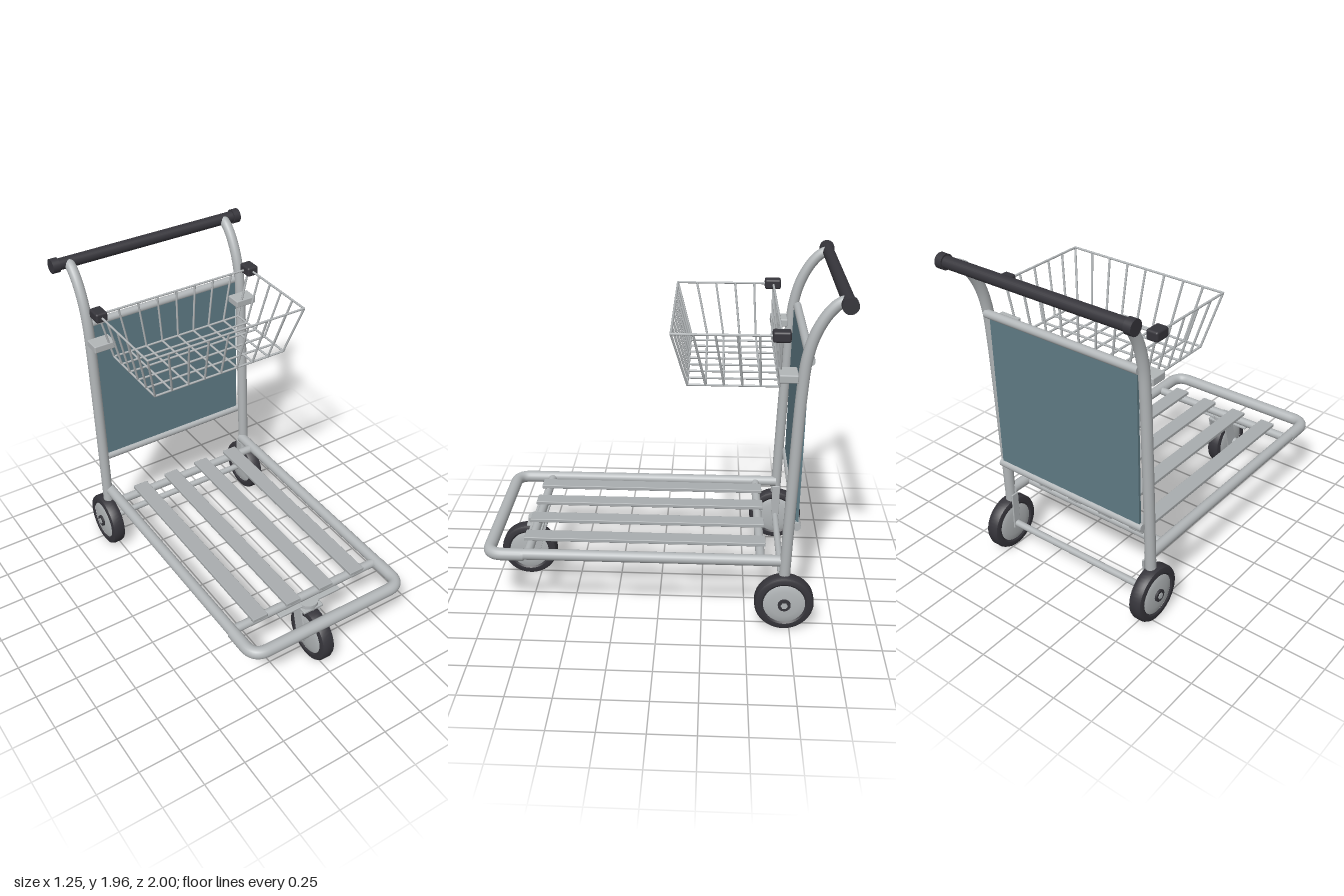
import * as THREE from 'three';
import { RoundedBoxGeometry } from 'three/addons/geometries/RoundedBoxGeometry.js';
import { toCreasedNormals } from 'three/addons/utils/BufferGeometryUtils.js';

const mat = (name, color) => {
  const m = new THREE.MeshStandardMaterial({ color });
  m.name = name;
  return m;
};
const V = (x, y, z) => new THREE.Vector3(x, y, z);

export function createModel() {
  const metal = mat('steel', 0xb2b6b8);
  const slatMetal = mat('slat steel', 0xa9adaf);
  const dark = mat('black rubber', 0x36353b);
  const teal = mat('teal panel', 0x5f7b85);

  const root = new THREE.Group();
  root.name = 'luggageTrolley';

  const group = (name, parent = root) => {
    const g = new THREE.Group();
    g.name = name;
    parent.add(g);
    return g;
  };
  const add = (name, geo, material, parent = root, pos = [0, 0, 0]) => {
    const m = new THREE.Mesh(geo, material);
    m.name = name;
    m.position.set(...pos);
    parent.add(m);
    return m;
  };
  // Straight round bar between two points
  const bar = (name, a, b, r, material, parent = root, sides = 20) => {
    const d = b.clone().sub(a);
    const m = add(name, new THREE.CylinderGeometry(r, r, d.length(), sides), material, parent);
    m.position.copy(a).add(b).multiplyScalar(0.5);
    m.quaternion.setFromUnitVectors(V(0, 1, 0), d.normalize());
    return m;
  };
  const box = (name, w, h, d, pos, material, parent = root, r = 0.006) =>
    add(name, new RoundedBoxGeometry(w, h, d, 2, r), material, parent, pos);

  // Lathe profile turned so its axis lies along x
  const turned = (pts) => {
    const g = new THREE.LatheGeometry(pts.map(p => new THREE.Vector2(...p)), 48);
    return toCreasedNormals(g, 0.6).rotateZ(-Math.PI / 2);
  };
  const tyreGeo = turned([[0.118, -0.034], [0.128, -0.041], [0.148, -0.041], [0.16, -0.036], [0.167, -0.022],
    [0.167, 0.022], [0.16, 0.036], [0.148, 0.041], [0.128, 0.041], [0.118, 0.034]]);
  const hubGeo = turned([[0, -0.044], [0.04, -0.043], [0.08, -0.04], [0.11, -0.035], [0.127, -0.028],
    [0.127, 0.028], [0.11, 0.035], [0.08, 0.04], [0.04, 0.043], [0, 0.044]]);
  const wheel = (name, x, z) => {
    const g = group(name);
    g.position.set(x, 0.167, z);
    add('tyre', tyreGeo, dark, g);
    add('hub', hubGeo, metal, g);
    return g;
  };

  // Uprights, rear wheels and basket mounts, mirrored
  for (const s of [1, -1]) {
    const side = s > 0 ? 'left' : 'right';
    const path = new THREE.CatmullRomCurve3([
      V(s * 0.52, 0.335, -0.713), V(s * 0.52, 0.7, -0.724), V(s * 0.52, 1.1, -0.738),
      V(s * 0.52, 1.42, -0.752), V(s * 0.52, 1.6, -0.768), V(s * 0.52, 1.74, -0.805),
      V(s * 0.52, 1.85, -0.865), V(s * 0.52, 1.905, -0.92), V(s * 0.52, 1.917, -0.957)]);
    add(side + 'Upright', new THREE.TubeGeometry(path, 60, 0.031, 18), metal);
    bar(side + 'UprightFoot', V(s * 0.52, 0.33, -0.713), V(s * 0.52, 0.345, -0.713), 0.031, metal);
    box(side + 'WheelHanger', 0.01, 0.24, 0.05, [s * 0.486, 0.26, -0.715], metal, root, 0.004);

    const w = wheel(side + 'RearWheel', s * 0.533, -0.715);
    bar('hubCap', V(s * 0.035, 0, 0), V(s * 0.055, 0, 0), 0.036, dark, w);
    bar('axleNut', V(s * 0.05, 0, 0), V(s * 0.059, 0, 0), 0.02, metal, w, 6);

    box(side + 'BasketBracket', 0.135, 0.044, 0.1, [s * 0.483, 1.503, -0.68], metal);
    box(side + 'BasketClamp', 0.072, 0.058, 0.095, [s * 0.505, 1.723, -0.637], dark, root, 0.012);

    bar(side + 'DeckRail', V(s * 0.505, 0.409, 0.8), V(s * 0.505, 0.409, -0.71), 0.032, metal);
    bar(side + 'HandleCap', V(s * 0.583, 1.917, -0.957), V(s * 0.627, 1.917, -0.957), 0.043, dark, root, 28);
  }
  bar('rearAxle', V(-0.55, 0.167, -0.715), V(0.55, 0.167, -0.715), 0.02, metal);
  bar('handle', V(-0.6, 1.917, -0.957), V(0.6, 1.917, -0.957), 0.034, dark, root, 28);

  // U-shaped front bumper with rounded corners
  const bumper = new THREE.CurvePath();
  const by = 0.405, bx = 0.505, bz = 0.963, bc = 0.09;
  bumper.add(new THREE.LineCurve3(V(-bx, by, 0.76), V(-bx, by, bz - bc)));
  bumper.add(new THREE.QuadraticBezierCurve3(V(-bx, by, bz - bc), V(-bx, by, bz), V(-bx + bc, by, bz)));
  bumper.add(new THREE.LineCurve3(V(-bx + bc, by, bz), V(bx - bc, by, bz)));
  bumper.add(new THREE.QuadraticBezierCurve3(V(bx - bc, by, bz), V(bx, by, bz), V(bx, by, bz - bc)));
  bumper.add(new THREE.LineCurve3(V(bx, by, bz - bc), V(bx, by, 0.76)));
  add('frontBumper', new THREE.TubeGeometry(bumper, 120, 0.036, 18), metal);
  for (const x of [-bx, bx]) bar('bumperEnd', V(x, by, 0.758), V(x, by, 0.77), 0.036, metal);

  // Deck cross bars and slats
  for (const z of [0.737, -0.577]) bar('deckCrossBar', V(-0.5, 0.403, z), V(0.5, 0.403, z), 0.026, metal);
  for (const x of [-0.336, -0.113, 0.113, 0.336])
    box('deckSlat', 0.096, 0.022, 1.385, [x, 0.436, 0.083], slatMetal, root, 0.004);

  // Back panel with its two rails
  bar('panelTopRail', V(-0.51, 1.587, -0.79), V(0.51, 1.587, -0.79), 0.024, metal);
  bar('panelBottomRail', V(-0.51, 0.627, -0.766), V(0.51, 0.627, -0.766), 0.024, metal);
  const panel = add('backPanel', new THREE.BoxGeometry(0.985, 0.965, 0.016), teal, root, [0, 1.107, -0.772]);
  panel.rotation.x = -0.01;

  // Front swivel caster
  const caster = group('frontCaster');
  box('mountPlate', 0.42, 0.014, 0.08, [0, 0.376, 0.745], metal, caster, 0.004);
  bar('swivelHead', V(0, 0.345, 0.757), V(0, 0.385, 0.757), 0.06, metal, caster, 28);
  box('forkCrown', 0.132, 0.016, 0.12, [0, 0.353, 0.757], metal, caster, 0.004);
  const plate = new THREE.Shape();
  plate.moveTo(0.72, 0.36);
  plate.lineTo(0.8, 0.36);
  plate.lineTo(0.858, 0.17);
  plate.lineTo(0.852, 0.145);
  plate.lineTo(0.775, 0.145);
  plate.lineTo(0.77, 0.17);
  plate.closePath();
  for (const s of [1, -1]) {
    // shape x runs along +z once turned, thickness along x
    const g = new THREE.ExtrudeGeometry(plate, { depth: 0.01, bevelEnabled: false });
    g.translate(0, 0, -0.005).rotateY(-Math.PI / 2);
    add('forkArm', g, metal, caster, [s * 0.061, 0, -0.025]);
    bar('axleNut', V(s * 0.066, 0.167, 0.815), V(s * 0.085, 0.167, 0.815), 0.026, metal, caster);
    bar('axleTip', V(s * 0.08, 0.167, 0.815), V(s * 0.1, 0.167, 0.815), 0.019, metal, caster);
  }
  wheel('frontWheel', 0, 0.815);

  // Wire basket: flared front and sides, upright back
  const basket = group('basket');
  const r = 0.0065, top = 1.722, low = 1.42, back = -0.64;
  const wire = (name, a, b) => bar(name, a, b, r, metal, basket, 8);
  const loop = (name, hw, y, front) => {
    const c = [V(-hw, y, back), V(hw, y, back), V(hw, y, front), V(-hw, y, front)];
    c.forEach((p, i) => {
      wire(name, p, c[(i + 1) % 4]);
      add(name + 'Corner', new THREE.SphereGeometry(r, 8, 6), metal, basket, p.toArray());
    });
  };
  loop('basketRim', 0.505, top, -0.07);
  loop('basketBase', 0.43, low, -0.155);
  for (let i = -4; i <= 4; i++) {
    const xt = 0.505 * i / 4, xb = 0.43 * i / 4;
    wire('frontWire', V(xt, top, -0.07), V(xb, low, -0.155));
    wire('backWire', V(xt, top, back), V(xb, low, back));
    if (Math.abs(i) < 4) wire('floorWire', V(xb, low, back), V(xb, low, -0.155));
  }
  for (let i = 1; i < 5; i++) {
    const zt = back + 0.57 * i / 5, zb = back + 0.485 * i / 5;
    for (const s of [1, -1]) wire('sideWire', V(s * 0.505, top, zt), V(s * 0.43, low, zb));
    wire('floorCrossWire', V(-0.43, low, zb), V(0.43, low, zb));
  }
  return root;
}
